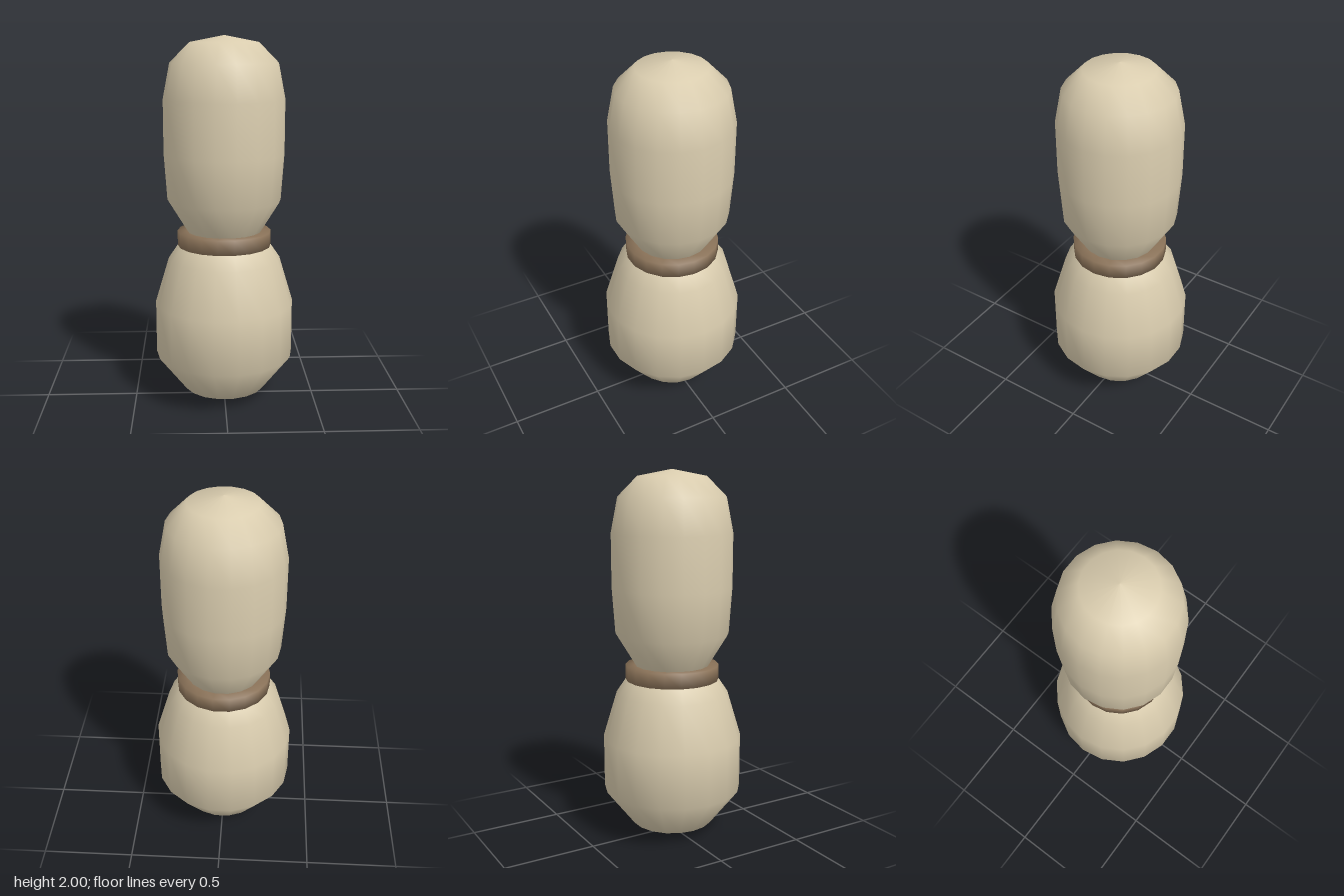
import * as THREE from 'three';

const SIDES = 18;

const cream = new THREE.MeshStandardMaterial({ color: 0xd9ccae });
cream.name = 'cream';
const brown = new THREE.MeshStandardMaterial({ color: 0x8b7359 });
brown.name = 'brown';

// Smooth turned part from a [radius, height] profile, listed bottom to top
function turned(name, profile, material) {
  const points = profile.map(([r, y]) => new THREE.Vector2(r, y));
  const geometry = new THREE.LatheGeometry(points, SIDES, Math.PI / 2);
  const mesh = new THREE.Mesh(geometry, material);
  mesh.name = name;
  return mesh;
}

export function createModel() {
  const model = new THREE.Group();
  model.name = 'turnedFigure';

  // Pear-shaped body with a shallow pointed base
  model.add(turned('body', [
    [0, 0], [0.225, 0.06], [0.38, 0.26], [0.38, 0.555],
    [0.305, 0.805], [0.25, 0.885], [0.2, 0.94],
  ], cream));

  // Tall rounded head, narrowing to the waist
  model.add(turned('head', [
    [0.19, 0.94], [0.204, 0.96], [0.308, 1.13], [0.325, 1.38], [0.325, 1.67],
    [0.288, 1.858], [0.183, 1.964], [0, 2],
  ], cream));

  // Band around the waist
  model.add(turned('collar', [
    [0.19, 0.875], [0.255, 0.875], [0.255, 0.958], [0.19, 0.958],
  ], brown));

  return model;
}
